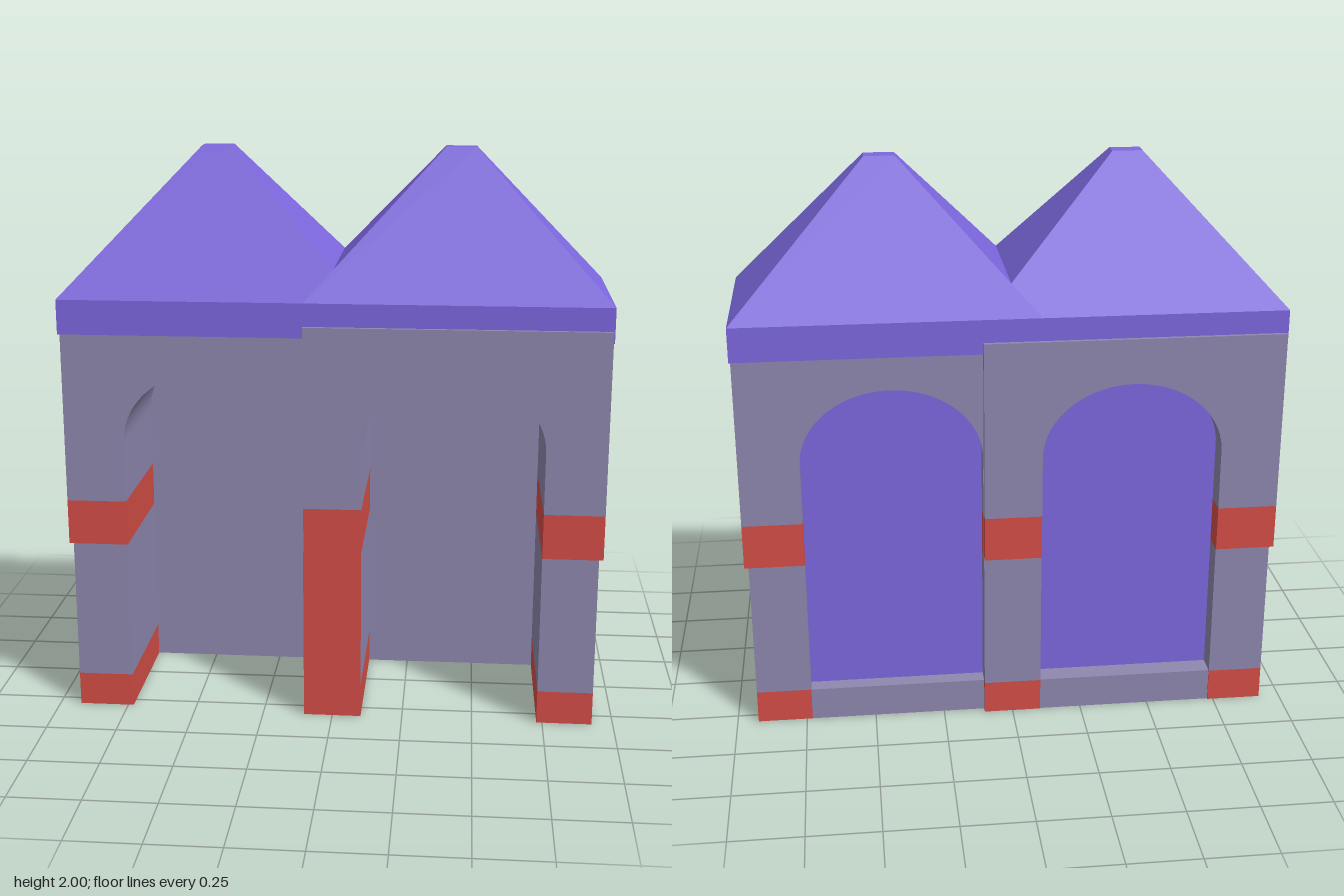
import * as THREE from 'three';

const mat = (name, color) => {
  const m = new THREE.MeshStandardMaterial({ color });
  m.name = name;
  return m;
};

export function createModel() {
  const stone = mat('stone', 0x8e88af);
  const red = mat('redTrim', 0xd44d46);
  const purple = mat('purpleRoof', 0x7c67de);
  const model = new THREE.Group();
  model.name = 'doubleArchHouse';

  const add = (parent, name, geometry, material) => {
    const m = new THREE.Mesh(geometry, material);
    m.name = name;
    parent.add(m);
    return m;
  };
  // Box given by its min and max along each axis
  const block = (parent, name, material, [x0, x1], [y0, y1], [z0, z1]) => {
    const g = new THREE.BoxGeometry(x1 - x0, y1 - y0, z1 - z0);
    g.translate((x0 + x1) / 2, (y0 + y1) / 2, (z0 + z1) / 2);
    return add(parent, name, g, material);
  };

  const IN = 0.102, OUT = 0.73, MID = (IN + OUT) / 2; // arch opening

  // One arch unit; the second is the same turned half a circle
  const archUnit = (name, turn) => {
    const unit = new THREE.Group();
    unit.name = name;
    unit.rotation.y = turn;
    model.add(unit);

    const s = new THREE.Shape();
    s.moveTo(-0.1, 0.78);
    s.lineTo(IN, 0.78);
    s.lineTo(IN, 1.0);
    s.absellipse(MID, 1.0, (OUT - IN) / 2, 0.26, Math.PI, 0, true);
    s.lineTo(OUT, 0.78);
    s.lineTo(0.94, 0.78);
    s.lineTo(0.94, 1.42);
    s.lineTo(-0.1, 1.42);
    s.closePath();
    const wall = new THREE.ExtrudeGeometry(s, { depth: 0.622, bevelEnabled: false, curveSegments: 24 });
    wall.translate(0, 0, -0.297);
    add(unit, 'archWall', wall, stone);

    const upperZ = [-0.297, 0.325], lowerZ = [-0.295, 0.32];
    block(unit, 'innerBand', red, [-0.1, IN], [0.62, 0.78], upperZ);
    block(unit, 'outerBand', red, [OUT, 0.94], [0.62, 0.78], upperZ);
    block(unit, 'outerPier', stone, [OUT, 0.925], [0.12, 0.62], lowerZ);
    block(unit, 'outerPierBase', red, [OUT, 0.925], [0, 0.12], lowerZ);
  };
  archUnit('leftArch', 0);
  archUnit('rightArch', Math.PI);

  // Centre pier, red on its front and one side
  const pierZ = [-0.318, 0.32];
  block(model, 'centrePier', [stone, red, stone, stone, red, stone], [-IN, IN], [0.12, 0.62], pierZ);
  block(model, 'centrePierBase', red, [-IN, IN], [0, 0.12], pierZ);

  // Back panels: stone inside, purple outside, each above a sill
  for (const side of [1, -1]) {
    const span = (a, b) => (side > 0 ? [a, b] : [-b, -a]);
    block(model, 'backPanel', [stone, stone, stone, stone, stone, purple],
      span(IN - 0.01, OUT + 0.01), [0.12, 1.25], [-0.24, -0.18]);
    block(model, 'sill', stone, span(IN, OUT), [0, 0.12], [side > 0 ? -0.295 : -0.315, -0.18]);
  }

  // Roof: eaves slab and two overlapping hipped peaks
  block(model, 'eaves', purple, [-0.945, 0.945], [1.38, 1.5], [-0.31, 0.31]);
  for (const side of [1, -1]) {
    const g = new THREE.BoxGeometry(1.045, 0.5, 0.62);
    const p = g.attributes.position;
    for (let i = 0; i < p.count; i++) {
      if (p.getY(i) > 0) {
        p.setX(i, p.getX(i) * 0.1);
        p.setZ(i, p.getZ(i) * 0.1);
      }
    }
    g.computeVertexNormals();
    g.translate(side * 0.4225, 1.75, 0);
    add(model, side > 0 ? 'leftRoofPeak' : 'rightRoofPeak', g, purple);
  }
  return model;
}
